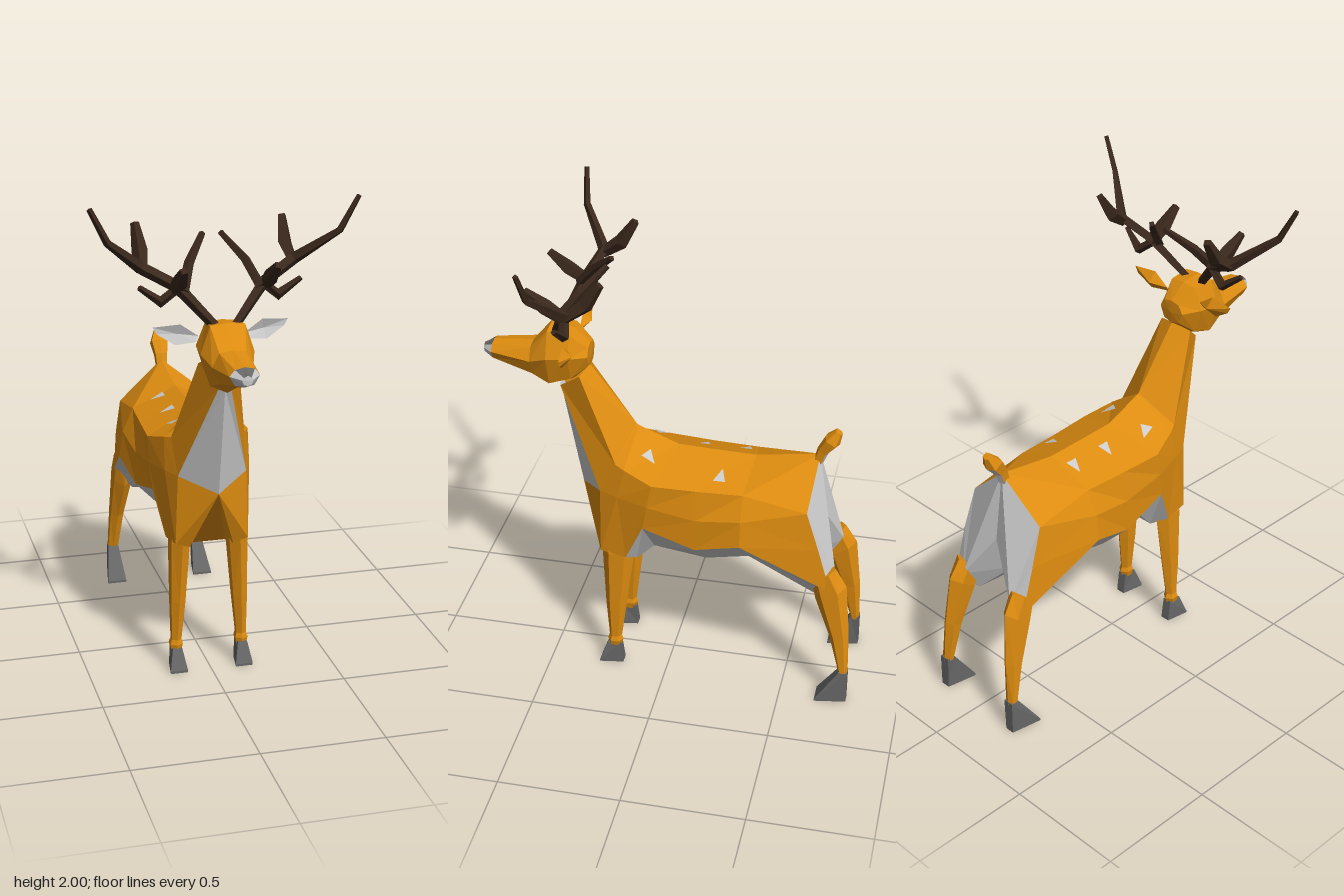
import * as THREE from 'three';

const paint = (color) => new THREE.MeshStandardMaterial({ color, flatShading: true, side: THREE.DoubleSide });
const V = (p) => new THREE.Vector3(...p);

export function createModel() {
  const group = new THREE.Group();
  const coat = paint(0xdd8c10), pale = paint(0xcccccc), hoofGrey = paint(0x666666), horn = paint(0x3a281c);

  // Mesh from a flat list of corner points; mirrored over x = 0 unless told otherwise
  const addMesh = (name, material, corners, mirror = true) => {
    const pos = [];
    for (const p of corners) pos.push(...p);
    if (mirror) {
      for (let i = 0; i < corners.length; i += 3) {
        for (const k of [0, 2, 1]) {
          const [x, y, z] = corners[i + k];
          pos.push(-x, y, z);
        }
      }
    }
    const geo = new THREE.BufferGeometry();
    geo.setAttribute('position', new THREE.Float32BufferAttribute(pos, 3));
    geo.computeVertexNormals();
    const mesh = new THREE.Mesh(geo, material);
    mesh.name = name;
    group.add(mesh);
  };

  // Skin between half cross-sections; isPale(station, strip) picks the colour
  const skin = (rings, isPale) => {
    const out = { main: [], pale: [] };
    for (let i = 0; i < rings.length - 1; i++) {
      for (let j = 0; j < rings[i].length - 1; j++) {
        const a = rings[i][j], b = rings[i][j + 1], c = rings[i + 1][j + 1], d = rings[i + 1][j];
        (isPale(i, j) ? out.pale : out.main).push(a, d, c, a, c, b);
      }
    }
    return out;
  };

  // Closed loft with capped ends
  const loft = (rings) => {
    const out = [], n = rings[0].length, last = rings[rings.length - 1];
    for (let i = 0; i < rings.length - 1; i++) {
      for (let j = 0; j < n; j++) {
        const k = (j + 1) % n;
        const a = rings[i][j], b = rings[i][k], c = rings[i + 1][k], d = rings[i + 1][j];
        out.push(a, b, c, a, c, d);
      }
    }
    for (let j = 1; j < n - 1; j++) {
      out.push(rings[0][0], rings[0][j + 1], rings[0][j], last[0], last[j], last[j + 1]);
    }
    return out;
  };

  // Torso: half sections from rump to shoulder, each from spine to belly
  const torso = [
    [[0, 1.07, -0.6], [0.19, 0.9, -0.58], [0.2, 0.74, -0.633], [0.2, 0.54, -0.69], [0.13, 0.47, -0.63], [0, 0.6, -0.56]],
    [[0, 1.03, -0.34], [0.19, 0.95, -0.32], [0.235, 0.85, -0.32], [0.25, 0.74, -0.32], [0.13, 0.62, -0.34], [0, 0.57, -0.35]],
    [[0, 1.035, -0.15], [0.2, 0.95, -0.13], [0.22, 0.82, -0.13], [0.22, 0.68, -0.13], [0.11, 0.57, -0.16], [0, 0.505, -0.18]],
    [[0, 1.04, -0.02], [0.21, 0.955, 0.05], [0.21, 0.85, 0.07], [0.2, 0.74, 0.09], [0.11, 0.6, 0.06], [0, 0.54, 0.05]],
    [[0, 1.11, 0.15], [0.17, 0.99, 0.17], [0.175, 0.86, 0.2], [0.165, 0.56, 0.17], [0.09, 0.51, 0.14], [0, 0.51, 0.14]],
    [[0, 1.115, 0.155], [0.15, 1.0, 0.21], [0.14, 0.86, 0.28], [0.15, 0.57, 0.28], [0.09, 0.55, 0.275], [0, 0.81, 0.385]],
  ];
  const body = skin(torso, (i, j) => j >= 3 && i < 4);
  const front = torso[5];
  for (const j of [2, 3]) body.main.push(front[5], front[j + 1], front[j]);
  addMesh('torso', coat, body.main);
  addMesh('belly', pale, body.pale);

  // Rump patch
  const rump = [], rumpRing = [...torso[0], [0, 0.78, -0.64]];
  rumpRing.forEach((p, j) => rump.push([0.14, 0.57, -0.705], p, rumpRing[(j + 1) % rumpRing.length]));
  addMesh('rumpPatch', pale, rump);

  // Neck with pale chest
  const neck = skin([
    [front[0], front[1], front[2], front[5]],
    [[0, 1.37, 0.345], [0.08, 1.35, 0.37], [0.025, 1.27, 0.465], [0, 1.27, 0.47]],
  ], (i, j) => j === 2);
  addMesh('neck', coat, neck.main);
  addMesh('chest', pale, neck.pale);

  // Head: [z, top, bottom, half width]
  const headRings = [
    [0.34, 1.47, 1.37, 0.06], [0.41, 1.53, 1.3, 0.1], [0.5, 1.54, 1.265, 0.105],
    [0.575, 1.455, 1.31, 0.08], [0.74, 1.44, 1.362, 0.058], [0.78, 1.42, 1.38, 0.022],
  ].map(([z, t, b, w]) => [[0, t, z], [w * 0.65, t - 0.008, z], [w, b + (t - b) * 0.58, z], [w * 0.65, b + (t - b) * 0.12, z], [0, b, z]]);
  const head = skin(headRings, (i) => i === 4);
  for (let j = 0; j < 4; j++) {
    head.main.push([0, 1.42, 0.335], headRings[0][j], headRings[0][j + 1]);
    head.pale.push([0, 1.4, 0.782], headRings[5][j + 1], headRings[5][j]);
  }
  // The first strip of the muzzle tip is the dark nose
  addMesh('head', coat, head.main);
  addMesh('nose', hoofGrey, head.pale.slice(0, 6));
  addMesh('muzzle', pale, head.pale.slice(6));

  // Ears: leaf outline with a hollow pale front and a raised back
  const rim = [[0.09, 1.47, 0.41], [0.16, 1.52, 0.41], [0.265, 1.512, 0.4], [0.25, 1.485, 0.4], [0.18, 1.44, 0.41], [0.1, 1.45, 0.42]];
  const earFront = [], earBack = [];
  rim.forEach((p, i) => {
    const q = rim[(i + 1) % rim.length];
    earFront.push([0.17, 1.48, 0.395], q, p);
    earBack.push([0.16, 1.48, 0.375], p, q);
  });
  addMesh('innerEars', pale, earFront);
  addMesh('outerEars', coat, earBack);

  // Tail: leans back, pale on its underside
  const tail = skin([[1.04, -0.59, 0.022], [1.09, -0.606, 0.026], [1.14, -0.64, 0.035], [1.182, -0.668, 0.016]]
    .map(([y, z, r]) => [[0, y - r * 0.5, z - r], [r, y - r * 0.4, z - r * 0.6], [r, y + r * 0.3, z + r * 0.5], [0, y + r * 0.4, z + r * 0.7]]),
  (i, j) => j === 0 && i < 2);
  tail.main.push([0, 1.174, -0.684], [0.016, 1.187, -0.66], [0.016, 1.176, -0.678], [0, 1.174, -0.684], [0, 1.188, -0.657], [0.016, 1.187, -0.66]);
  addMesh('tail', coat, tail.main);
  addMesh('tailUnderside', pale, tail.pale);

  // Legs and hooves: stations from top down [x, y, z, half width, half depth, slope, widening to the front]
  const limb = (stations, n = 6) => loft(stations.map(([x, y, z, hx, hz, slope = 0, widen = 0]) =>
    Array.from({ length: n }, (_, k) => {
      const t = ((k + 0.5) / n) * Math.PI * 2;
      const s = Math.sin(t) * hz;
      return [x + (Math.cos(t) * hx * (1 + widen * Math.sin(t))) / Math.cos(Math.PI / n), y + slope * s, z + s];
    })));
  addMesh('frontLegs', coat, limb([
    [0.115, 0.66, 0.215, 0.025, 0.045], [0.12, 0.56, 0.212, 0.038, 0.068],
    [0.13, 0.3, 0.222, 0.029, 0.045], [0.137, 0.13, 0.226, 0.02, 0.027],
    [0.138, 0.11, 0.226, 0.026, 0.034], [0.138, 0.08, 0.228, 0.02, 0.027],
  ]));
  addMesh('frontHooves', hoofGrey, limb([[0.138, 0.095, 0.23, 0.02, 0.04], [0.138, 0.01, 0.24, 0.028, 0.07, 0, 0.4], [0.138, 0, 0.24, 0.028, 0.07, 0, 0.4]], 4));
  addMesh('hindLegs', coat, limb([
    [0.16, 0.61, -0.655, 0.04, 0.05, -0.4], [0.165, 0.515, -0.69, 0.04, 0.063, -0.6],
    [0.183, 0.32, -0.735, 0.029, 0.04, -0.3], [0.197, 0.13, -0.763, 0.022, 0.019],
  ]));
  addMesh('hindHooves', hoofGrey, limb([[0.197, 0.145, -0.763, 0.023, 0.026], [0.2, 0.01, -0.717, 0.031, 0.092, 0, 0.5], [0.2, 0, -0.717, 0.031, 0.092, 0, 0.5]], 4));

  // Antlers: tapered four-sided branches through [x, y, z, radius]
  const branch = (path) => loft(path.map(([x, y, z, r], i) => {
    const here = new THREE.Vector3(x, y, z);
    const dir = V(path[Math.min(i + 1, path.length - 1)].slice(0, 3))
      .sub(V(path[Math.max(i - 1, 0)].slice(0, 3))).normalize();
    const u = new THREE.Vector3(0.3, 0.2, 1).cross(dir).normalize();
    const v = dir.clone().cross(u);
    return [0, 1, 2, 3].map((k) => {
      const t = (k * Math.PI) / 2;
      return here.clone().addScaledVector(u, Math.cos(t) * r).addScaledVector(v, Math.sin(t) * r).toArray();
    });
  }));
  const antler = [
    [[0.03, 1.51, 0.475, 0.018], [0.17, 1.665, 0.4, 0.024], [0.3, 1.735, 0.355, 0.024], [0.445, 1.86, 0.46, 0.015], [0.512, 1.992, 0.475, 0.011]],
    [[0.15, 1.65, 0.42, 0.021], [0.11, 1.74, 0.345, 0.019], [0.035, 1.83, 0.255, 0.012]],
    [[0.175, 1.65, 0.39, 0.024], [0.175, 1.7, 0.47, 0.031], [0.18, 1.762, 0.55, 0.016]],
    [[0.15, 1.67, 0.4, 0.017], [0.23, 1.605, 0.385, 0.022], [0.315, 1.67, 0.4, 0.011]],
    [[0.295, 1.72, 0.36, 0.022], [0.285, 1.78, 0.28, 0.031], [0.29, 1.875, 0.22, 0.017]],
  ];
  addMesh('antlers', horn, antler.flatMap(branch));

  // Spots lying on the back: [x, z, turn]
  const spots = [[-0.09, -0.29, 0], [0.12, -0.215, 0], [-0.09, -0.115, 0], [-0.12, 0.075, 0.9], [0.1, 0.075, 2.2]];
  const backHeight = (x, z) => 1.042 + Math.max(0, z + 0.02) * 0.25 - Math.abs(x) * 0.43;
  const spotCorners = spots.flatMap(([sx, sz, turn]) =>
    [[0.028, -0.025], [-0.03, -0.005], [0.028, 0.025]].map(([a, b]) => {
      const x = sx + a * Math.cos(turn) - b * Math.sin(turn);
      const z = sz + a * Math.sin(turn) + b * Math.cos(turn);
      return [x, backHeight(x, z), z];
    }));
  addMesh('spots', pale, spotCorners, false);

  return group;
}
